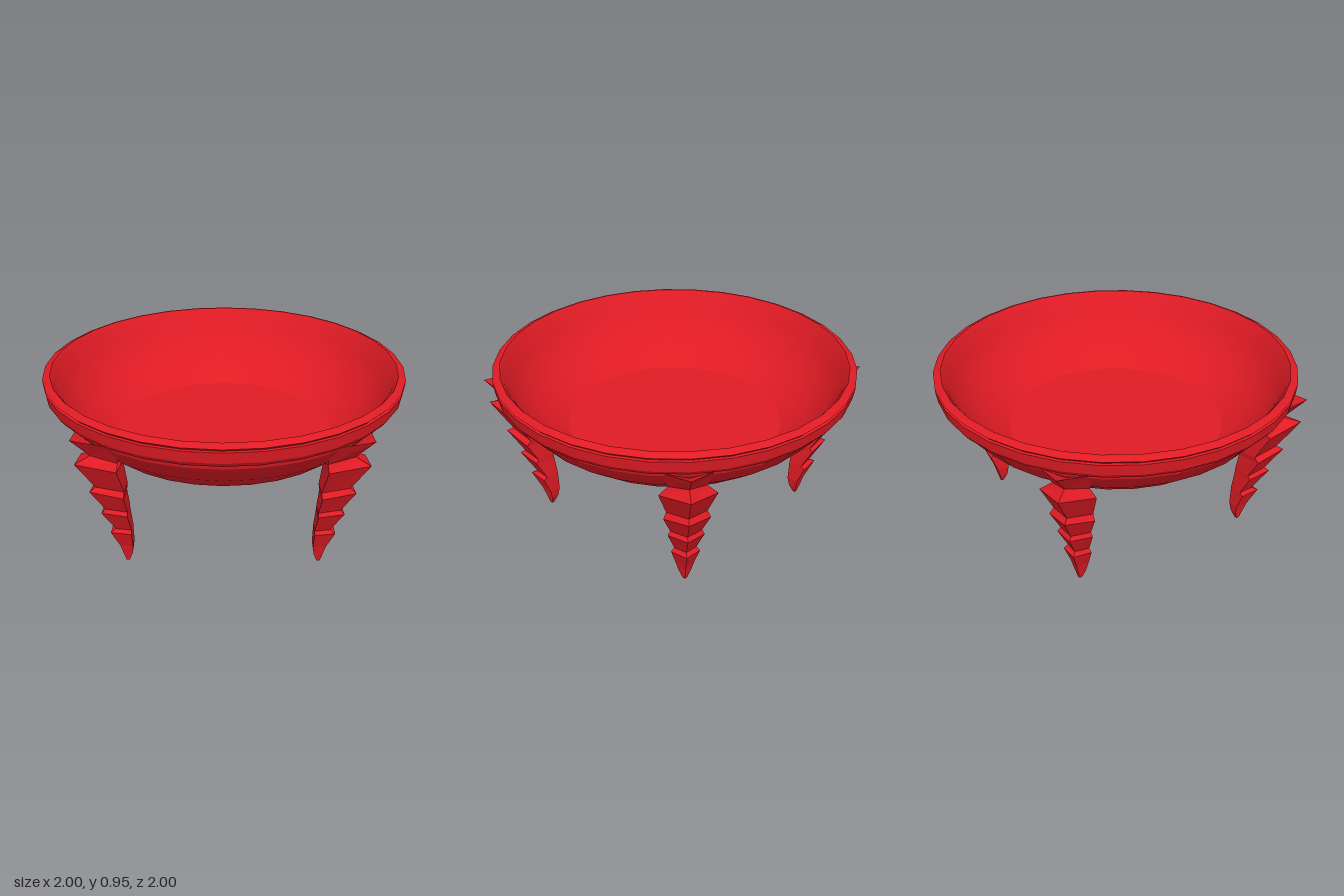
import * as THREE from 'three';
import { toCreasedNormals } from 'three/addons/utils/BufferGeometryUtils.js';

const SIDES = 32;

// Arc of a squashed sphere as [radius, height] pairs, angles in degrees from the bottom
function arc(radius, height, from, to, steps) {
  return Array.from({ length: steps + 1 }, (_, k) => {
    const a = THREE.MathUtils.degToRad(from + ((to - from) * k) / steps);
    return [radius * Math.sin(a), 1.055 - height * Math.cos(a)];
  });
}

function lathe(profile) {
  const points = profile.map(([r, y]) => new THREE.Vector2(r, y));
  return toCreasedNormals(new THREE.LatheGeometry(points, SIDES), 0.36);
}

// Leg rings from top to bottom: ridge, side corner, inner corner (all as x), ridge height, drop to the sides.
// Wide rings are tooth tips, the narrower ring before each is the notch above it.
const LEG_RINGS = [
  [0.748, 0.525, 0.645, 0.85, 0.04],
  [0.668, 0.53, 0.55, 0.725, 0.045],
  [0.737, 0.53, 0.523, 0.71, 0.045],
  [0.655, 0.507, 0.507, 0.535, 0.03],
  [0.682, 0.512, 0.512, 0.52, 0.04],
  [0.618, 0.502, 0.502, 0.38, 0.02],
  [0.637, 0.502, 0.502, 0.365, 0.022],
  [0.575, 0.492, 0.492, 0.23, 0.01],
  [0.6, 0.492, 0.492, 0.22, 0.012],
  [0.56, 0.49, 0.49, 0.11, 0.004],
  [0.546, 0.498, 0.498, 0.05, 0],
  [0.534, 0.517, 0.517, 0, 0],
];

// Loft of four-cornered rings whose sharp ridge points outward on the diagonal
function legGeometry() {
  const positions = [];
  const index = [];
  for (const [o, s, c, y, drop] of LEG_RINGS) {
    positions.push(o, y, o, s, y - drop, o, c, y - 2 * drop, c, o, y - drop, s);
  }
  const quad = (a, b, c, d) => index.push(a, b, c, a, c, d);
  const last = (LEG_RINGS.length - 1) * 4;
  for (let k = 0; k < last; k += 4) {
    for (let j = 0; j < 4; j++) {
      const n = (j + 1) % 4;
      quad(k + j, k + n, k + 4 + n, k + 4 + j);
    }
  }
  quad(0, 3, 2, 1);
  quad(last, last + 1, last + 2, last + 3);
  const indexed = new THREE.BufferGeometry();
  indexed.setAttribute('position', new THREE.Float32BufferAttribute(positions, 3));
  indexed.setIndex(index);
  const geometry = indexed.toNonIndexed();
  geometry.computeVertexNormals();
  return geometry;
}

export function createModel() {
  const group = new THREE.Group();
  const red = new THREE.MeshStandardMaterial({ color: 0xe01b24 });
  const add = (name, geometry) => {
    const mesh = new THREE.Mesh(geometry, red);
    mesh.name = name;
    group.add(mesh);
    return mesh;
  };

  // Round underside
  add('bowlOutside', lathe([...arc(1.015, 0.67, 0, 67.5, 6), [0.947, 0.832]]));

  // Band, groove and bevelled lip
  add('rim', lathe([
    [0.947, 0.832], [0.97, 0.832], [0.99, 0.858], [1, 0.92],
    [0.985, 0.922], [1, 0.937], [0.97, 0.953], [0.96, 0.953],
  ]));

  // Inner wall down to the flat floor
  add('bowlInside', lathe([[0.96, 0.953], ...arc(0.96, 0.63, 78, 39.5, 5), [0, 0.569]]));

  // Four toothed legs on the diagonals
  const leg = legGeometry();
  ['frontLeftLeg', 'backLeftLeg', 'backRightLeg', 'frontRightLeg'].forEach((name, k) => {
    add(name, leg).rotation.y = (k * Math.PI) / 2;
  });

  return group;
}
